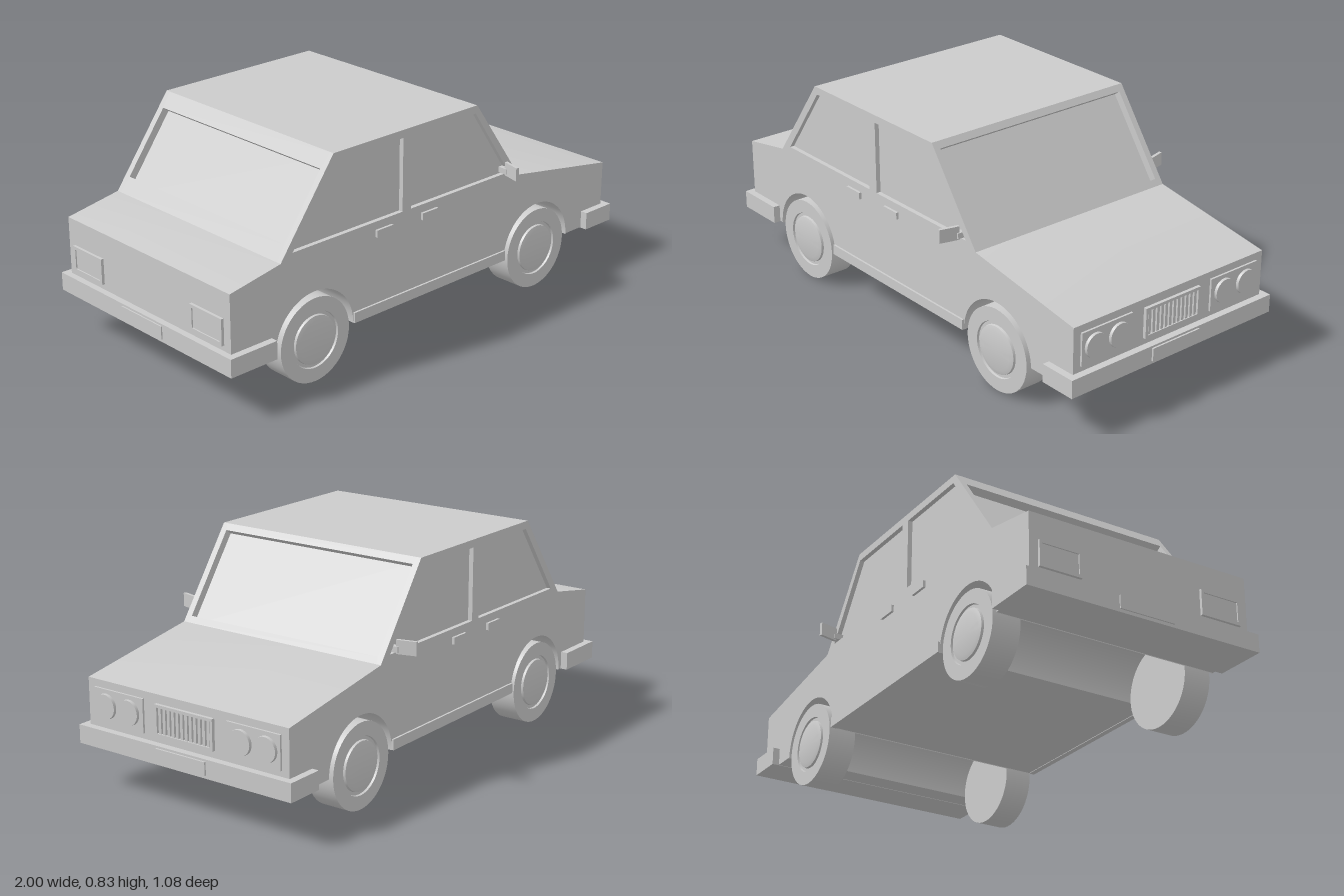
import * as THREE from 'three';
import { toCreasedNormals } from 'three/addons/utils/BufferGeometryUtils.js';

const grey = new THREE.MeshStandardMaterial({ color: 0xcccccc });
const HALF = 0.455;   // half body width
const SKIN = 0.018;   // depth of side window recess
const DEPTH = 0.03;   // depth of windscreen recess
const WHEELS = [-0.59, 0.57];

// Cabin corners: bottom and top of the rear and front slopes
const rearB = [-0.745, 0.5], rearT = [-0.5, 0.835], frontT = [0.215, 0.835], frontB = [0.455, 0.5];

export function createModel() {
  const car = new THREE.Group();
  car.name = 'car';

  const add = (name, geometry, x = 0, y = 0, z = 0, parent = car) => {
    const mesh = new THREE.Mesh(geometry, grey);
    mesh.name = name;
    mesh.position.set(x, y, z);
    parent.add(mesh);
    return mesh;
  };
  // Box given by its limits
  const box = (name, x0, x1, y0, y1, z0, z1) =>
    add(name, new THREE.BoxGeometry(x1 - x0, y1 - y0, z1 - z0), (x0 + x1) / 2, (y0 + y1) / 2, (z0 + z1) / 2);
  const poly = (pts) => new THREE.Shape(pts.map((p) => new THREE.Vector2(...p)));
  const extrude = (shape, depth) =>
    new THREE.ExtrudeGeometry(shape, { depth, bevelEnabled: false, curveSegments: 28 });

  // Lower body with full-width wheel arches
  const body = new THREE.Shape();
  body.moveTo(-0.97, 0.17);
  for (const x of WHEELS) {
    body.lineTo(x - 0.183, 0.17);
    body.absarc(x, 0.167, 0.183, Math.PI, 0, true);
    body.lineTo(x + 0.183, 0.17);
  }
  [[0.965, 0.17], [0.965, 0.415], frontB, rearB, [-0.97, 0.46]].forEach((p) => body.lineTo(...p));
  body.closePath();
  add('lowerBody', toCreasedNormals(extrude(body, 2 * HALF), 0.5), 0, 0, -HALF);

  // Outward normal of a cabin slope, and a corner moved inward along it
  const normal = (b, t, s) => new THREE.Vector3(s * (t[1] - b[1]), s * (b[0] - t[0]), 0).normalize();
  const nFront = normal(frontB, frontT, 1), nRear = normal(rearB, rearT, -1);
  const inward = (p, n) => [p[0] - n.x * DEPTH, p[1] - n.y * DEPTH];

  // Cabin core: roof plus the recessed glass surfaces
  const core = poly([inward(rearB, nRear), inward(frontB, nFront), inward(frontT, nFront),
    frontT, rearT, inward(rearT, nRear)]);
  add('cabinCore', extrude(core, 2 * (HALF - SKIN)), 0, 0, -(HALF - SKIN));

  // Side panels with window openings
  const side = poly([rearB, frontB, frontT, rearT]);
  side.holes.push(
    poly([[-0.69, 0.525], [-0.487, 0.805], [-0.165, 0.805], [-0.165, 0.525]]),
    poly([[-0.122, 0.525], [-0.122, 0.805], [0.207, 0.805], [0.4, 0.525]]));
  for (const z of [HALF - SKIN, -HALF]) add('sideWindowFrame', extrude(side, SKIN), 0, 0, z);

  // Sloping frames around the windscreen and rear window
  const screenFrame = (name, b, t, n, y0, y1) => {
    const up = new THREE.Vector3(t[0] - b[0], t[1] - b[1], 0);
    const length = up.length(), w = HALF - SKIN, h = 0.43;
    const v = (y) => ((y - b[1]) / (t[1] - b[1])) * length;
    up.normalize();
    const shape = poly([[-w, 0], [w, 0], [w, length], [-w, length]]);
    shape.holes.push(poly([[-h, v(y0)], [-h, v(y1)], [h, v(y1)], [h, v(y0)]]));
    const mesh = add(name, extrude(shape, DEPTH), ...inward(b, n), 0);
    const across = new THREE.Vector3().crossVectors(up, n);
    mesh.quaternion.setFromRotationMatrix(new THREE.Matrix4().makeBasis(across, up, n));
  };
  screenFrame('windscreenFrame', frontB, frontT, nFront, 0.522, 0.812);
  screenFrame('rearWindowFrame', rearB, rearT, nRear, 0.553, 0.782);

  // Wheels: tyre, groove and raised hub turned as one profile
  const profile = [[0, -0.055], [0.161, -0.055], [0.161, 0.055], [0.108, 0.055], [0.106, 0.047],
    [0.094, 0.047], [0.092, 0.056], [0.075, 0.061], [0, 0.061]].map((p) => new THREE.Vector2(...p));
  const wheel = toCreasedNormals(new THREE.LatheGeometry(profile, 48), 0.4);
  for (const x of WHEELS) {
    for (const s of [1, -1]) add('wheel', wheel, x, 0.163, s * 0.401).rotation.x = s * Math.PI / 2;
  }

  // Bumpers and number plates
  box('frontBumper', 0.845, 0.993, 0.168, 0.238, -0.483, 0.483);
  box('rearBumper', -0.995, -0.79, 0.168, 0.238, -0.483, 0.483);
  box('frontPlate', 0.98, 1, 0.18, 0.23, -0.113, 0.113);
  box('rearPlate', -1, -0.98, 0.18, 0.23, -0.113, 0.113);

  // Flat rectangular rim in the yz plane, starting at x and facing the given end
  const rim = (name, x, dir, y0, y1, z0, z1, t, depth) => {
    const shape = poly([[z0, y0], [z1, y0], [z1, y1], [z0, y1]]);
    shape.holes.push(poly([[z0 + t, y0 + t], [z0 + t, y1 - t], [z1 - t, y1 - t], [z1 - t, y0 + t]]));
    add(name, extrude(shape, depth), x, 0, 0).rotation.y = dir * Math.PI / 2;
  };

  // Grille with vertical bars
  rim('grilleFrame', 0.964, 1, 0.265, 0.382, -0.132, 0.132, 0.011, 0.014);
  for (let i = 0; i < 12; i++) {
    const z = -0.11 + i * 0.02;
    box('grilleBar', 0.96, 0.974, 0.274, 0.373, z - 0.006, z + 0.006);
  }

  // Twin round headlights on a plate, and rear lights
  const lamp = new THREE.CylinderGeometry(0.046, 0.048, 0.024, 32).rotateZ(-Math.PI / 2);
  for (const s of [1, -1]) {
    const a = s * 0.19, b = s * 0.423;
    box('headlightPanel', 0.96, 0.973, 0.26, 0.387, Math.min(a, b), Math.max(a, b));
    for (const z of [0.254, 0.364]) add('headlight', lamp, 0.972, 0.325, s * z);
    const z0 = s > 0 ? 0.25 : -0.42;
    box('rearLight', -0.976, -0.965, 0.27, 0.35, z0 + 0.01, z0 + 0.16);
    rim('rearLightRim', -0.968, -1, 0.26, 0.36, z0 < 0 ? -0.42 : 0.25, z0 + 0.17, 0.012, 0.013);
  }

  // Sills, door handles and mirrors on both sides
  for (const s of [1, -1]) {
    const span = (a, b) => (s > 0 ? [a, b] : [-b, -a]);
    box('sill', -0.407, 0.387, 0.168, 0.208, ...span(0.44, 0.463));
    for (const x of [-0.26, -0.03]) box('doorHandle', x - 0.04, x + 0.04, 0.467, 0.494, ...span(0.45, 0.465));
    box('mirrorStem', 0.362, 0.384, 0.53, 0.552, ...span(0.435, 0.475));
    const mirror = add('mirror', new THREE.BoxGeometry(0.012, 0.052, 0.076), 0.364, 0.55, s * 0.501);
    mirror.rotation.y = -s * 0.25;
  }
  return car;
}
